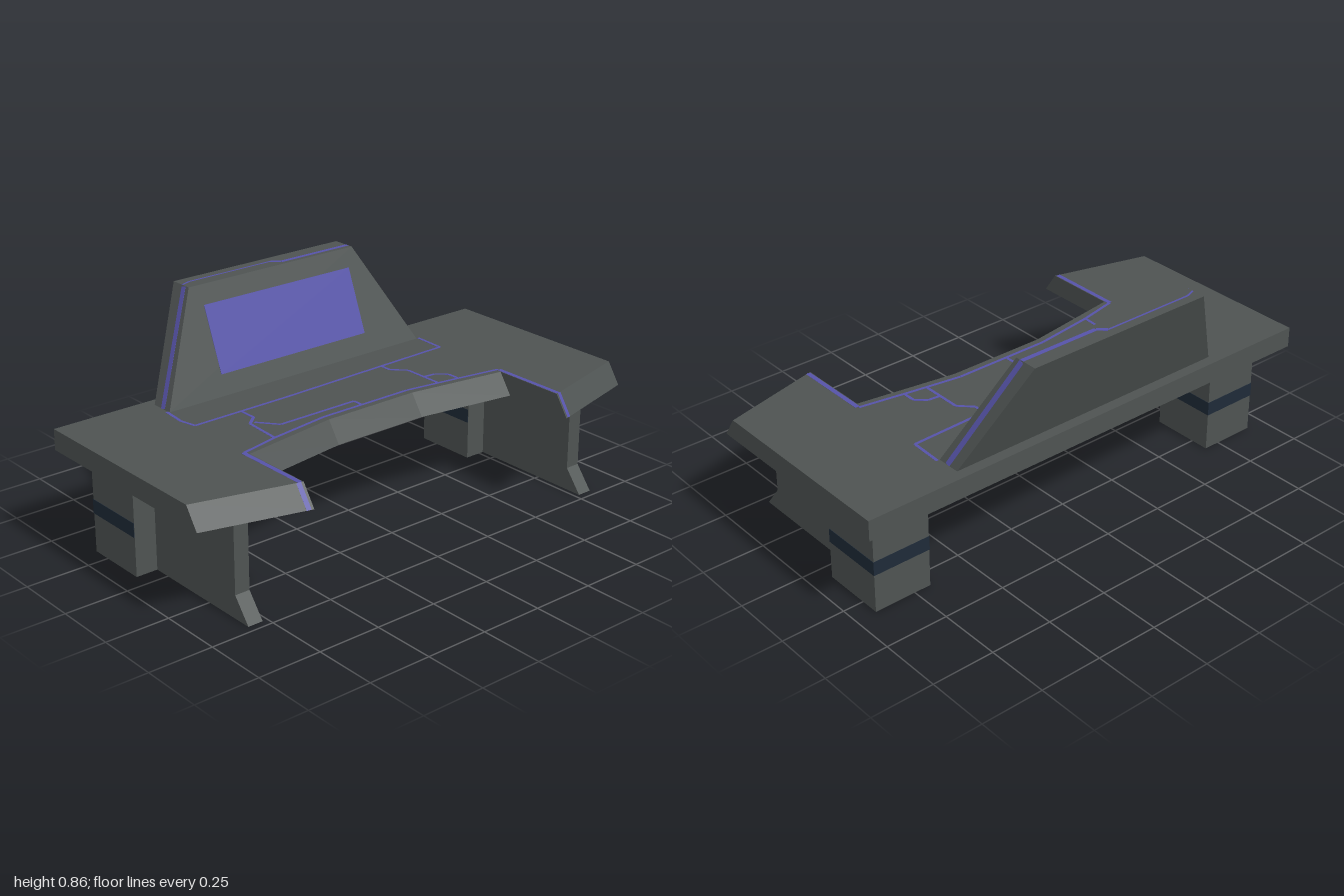
import * as THREE from 'three';

const mat = (name, color, side = THREE.FrontSide) =>
  Object.assign(new THREE.MeshStandardMaterial({ color, side }), { name });

export function createModel() {
  const body = mat('dark grey metal', 0x4e5352, THREE.DoubleSide);
  const glow = mat('violet light', 0x5653a9);
  const navy = mat('navy band', 0x1e2a38);
  const model = new THREE.Group();
  model.name = 'desk';

  const add = (name, geometry, material, parent = model) => {
    const mesh = new THREE.Mesh(geometry, material);
    mesh.name = name;
    parent.add(mesh);
  };
  const toShape = pts => new THREE.Shape(pts.map(p => new THREE.Vector2(...p)));
  const extrude = (pts, depth) =>
    new THREE.ExtrudeGeometry(toShape(pts), { depth, bevelEnabled: false });
  // Thin plate running from a to b, lying on a face with the given normal
  const strip = (name, a, b, width, normal) => {
    const p = new THREE.Vector3(...a), q = new THREE.Vector3(...b);
    const dir = q.clone().sub(p), length = dir.length();
    dir.normalize();
    const up = new THREE.Vector3(...normal).normalize();
    const side = new THREE.Vector3().crossVectors(dir, up).normalize();
    const geometry = new THREE.BoxGeometry(length, 0.001, width);
    geometry.applyMatrix4(new THREE.Matrix4().makeBasis(dir, up, side)
      .setPosition(p.add(q).multiplyScalar(0.5)));
    add(name, geometry, glow);
  };

  // Table top: a thin sheet with a skirt, open underneath
  const topY = 0.47, skirtY = 0.389, flare = 0.055;
  const half = [[1, -0.428], [1, 0.38], [0.6, 0.485], [0.6, 0.19], [0.2, 0.13]];
  const outline = [...half, ...half.map(([x, z]) => [-x, z]).reverse()];
  const sheet = new THREE.ShapeGeometry(toShape(outline.map(([x, z]) => [x, -z])));
  add('tableTop', sheet.rotateX(-Math.PI / 2).translate(0, topY, 0), body);

  // Skirt walls: the front ones flare forwards at the bottom
  const walls = [];
  const low = ([x, z]) => [x, skirtY, z > -0.4 ? z + flare : z];
  outline.forEach((p, i) => {
    const q = outline[(i + 1) % outline.length];
    const A = [p[0], topY, p[1]], B = [q[0], topY, q[1]], a = low(p), b = low(q);
    walls.push(...A, ...B, ...a, ...B, ...b, ...a);
  });
  const skirt = new THREE.BufferGeometry();
  skirt.setAttribute('position', new THREE.Float32BufferAttribute(walls, 3));
  skirt.computeVertexNormals();
  add('tableSkirt', skirt, body);

  // Leaning trapezoid screen
  const lean = geometry => {
    const pos = geometry.attributes.position;
    for (let i = 0; i < pos.count; i++) {
      pos.setZ(i, pos.getZ(i) - (pos.getY(i) - topY) * 0.155 / 0.39);
    }
    geometry.computeVertexNormals();
    return geometry;
  };
  const housing = extrude([[-0.6, topY], [0.6, topY], [0.39, 0.86], [-0.39, 0.86]], 0.095);
  add('screenHousing', lean(housing.translate(0, 0, -0.385)), body);
  const display = new THREE.BoxGeometry(0.695, 0.245, 0.003).translate(0.003, 0.667, -0.29);
  add('screenDisplay', lean(display), glow);

  // Light strips around the screen rim
  const up = [0, 1, 0];
  for (const s of [-1, 1]) {
    strip('screenSideLight', [s * 0.6, topY, -0.332], [s * 0.392, 0.857, -0.474], 0.022, [s * 0.39, 0.21, 0]);
  }
  const rim = [[-0.39, -0.485], [-0.35, -0.5], [0.03, -0.5], [0.06, -0.472], [0.39, -0.472]];
  for (let i = 0; i < rim.length - 1; i++) {
    const [a, b] = [rim[i], rim[i + 1]];
    strip('screenTopLight', [a[0], 0.86, a[1]], [b[0], 0.86, b[1]], i < 2 ? 0.008 : 0.018, up);
  }

  // Circuit-like light lines on the table top
  const traces = [
    [[-0.605, -0.3], [-0.615, -0.2], [-0.6, -0.132], [-0.18, -0.135], [0.25, -0.148], [0.605, -0.158], [0.61, -0.29]],
    [[-0.61, 0.17], [-0.45, 0.135], [-0.2, 0.1], [0.2, 0.1], [0.4, 0.13], [0.61, 0.165]],
    [[-0.395, -0.135], [-0.395, -0.06], [-0.44, -0.02], [-0.45, 0.135]],
    [[-0.42, -0.02], [-0.36, 0.055], [-0.02, 0.055], [-0.02, 0.1]],
    [[0.29, -0.145], [0.29, -0.1], [0.34, -0.05], [0.34, 0.12]],
    [[0.34, 0.04], [0.39, 0.045], [0.43, 0.08], [0.43, 0.13]],
  ];
  for (const t of traces) {
    for (let i = 0; i < t.length - 1; i++) {
      strip('tableLight', [t[i][0], topY, t[i][1]], [t[i + 1][0], topY, t[i + 1][1]], 0.012, up);
    }
  }
  for (const s of [-1, 1]) {
    strip('innerEdgeLight', [s * 0.612, topY, 0.17], [s * 0.612, topY, 0.48], 0.018, up);
    strip('frontEdgeLight', [s * 0.618, topY, 0.48], [s * 0.618, skirtY, 0.535], 0.018, [s * 0.0085, 0.022, 0.0324]);
  }

  // Legs: rear block with a band, and a front panel with a kicked-out foot
  for (const s of [-1, 1]) {
    const leg = new THREE.Group();
    leg.name = s > 0 ? 'leftLeg' : 'rightLeg';
    leg.position.x = s * 0.8;
    model.add(leg);
    add('legBlock', new THREE.BoxGeometry(0.235, 0.365, 0.26).translate(0, 0.1825, -0.195), body, leg);
    add('legBand', new THREE.BoxGeometry(0.238, 0.056, 0.26).translate(0, 0.181, -0.1965), navy, leg);
    const panel = extrude([[-0.07, 0], [0.47, 0], [0.4, 0.09], [0.4, 0.365], [-0.07, 0.365]], 0.06);
    add('legPanel', panel.rotateY(-Math.PI / 2).translate(0.03, 0, 0), body, leg);
  }
  return model;
}
